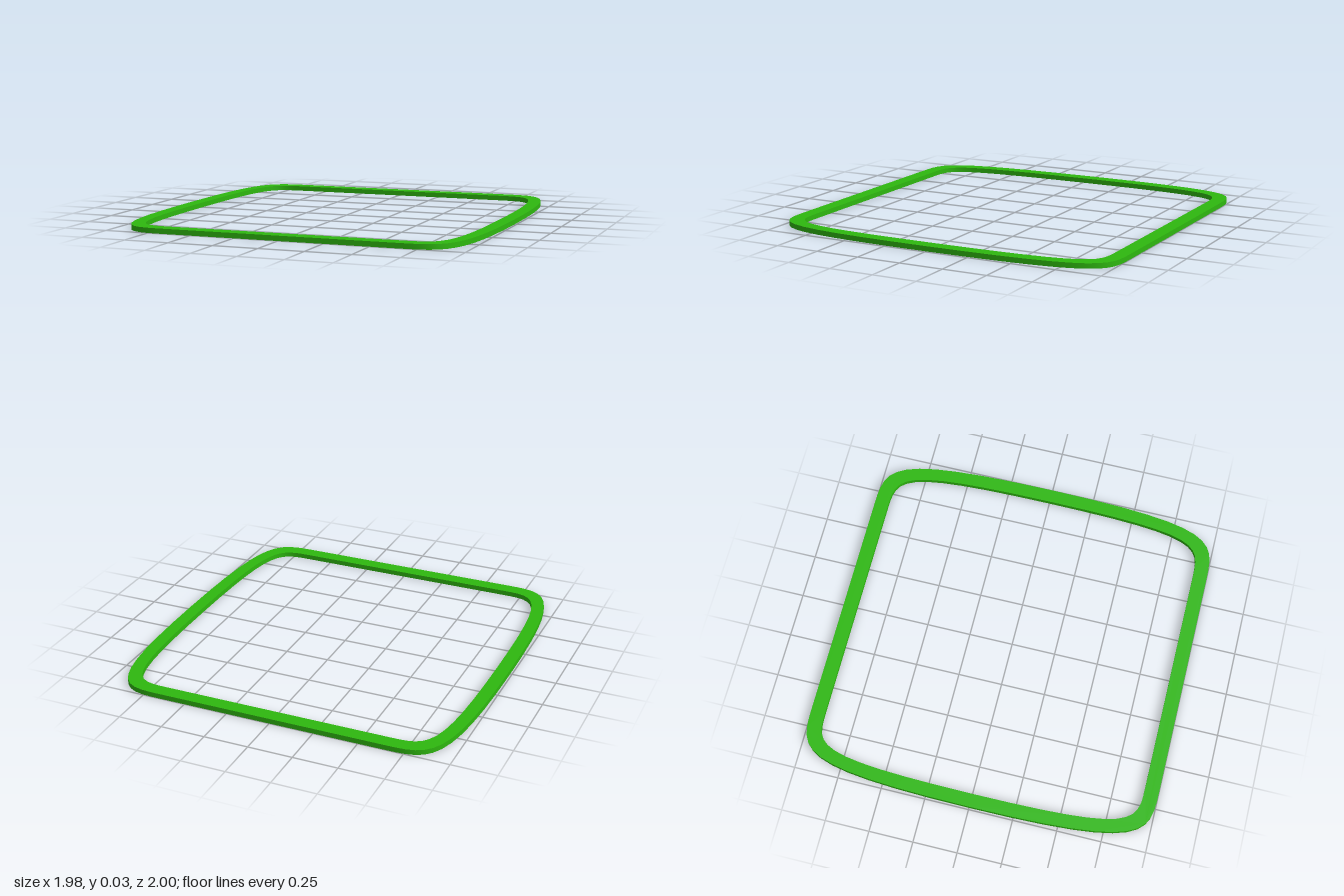
import * as THREE from 'three';
import { toCreasedNormals } from 'three/addons/utils/BufferGeometryUtils.js';

// Closed outline: straight front and back, gently bowed sides, soft corners
function outline(path, halfX, halfZ, flatX, handleX) {
  path.moveTo(flatX, halfZ);
  path.lineTo(-flatX, halfZ);
  path.bezierCurveTo(-handleX, halfZ, -halfX, halfZ, -halfX, 0);
  path.bezierCurveTo(-halfX, -halfZ, -handleX, -halfZ, -flatX, -halfZ);
  path.lineTo(flatX, -halfZ);
  path.bezierCurveTo(handleX, -halfZ, halfX, -halfZ, halfX, 0);
  path.bezierCurveTo(halfX, halfZ, handleX, halfZ, flatX, halfZ);
  return path;
}

export function createModel() {
  const group = new THREE.Group();
  group.name = 'frame';

  // Flat ring: outer outline with the inner outline cut out
  const shape = outline(new THREE.Shape(), 0.99, 1, 0.65, 0.9);
  shape.holes.push(outline(new THREE.Path(), 0.915, 0.92, 0.65, 0.857));

  const extruded = new THREE.ExtrudeGeometry(shape, { depth: 0.028, bevelEnabled: false, curveSegments: 12 });
  extruded.rotateX(-Math.PI / 2);

  const ring = new THREE.Mesh(
    toCreasedNormals(extruded, Math.PI / 5),
    new THREE.MeshStandardMaterial({ color: 0x2eb80f })
  );
  ring.name = 'rim';
  group.add(ring);
  return group;
}
